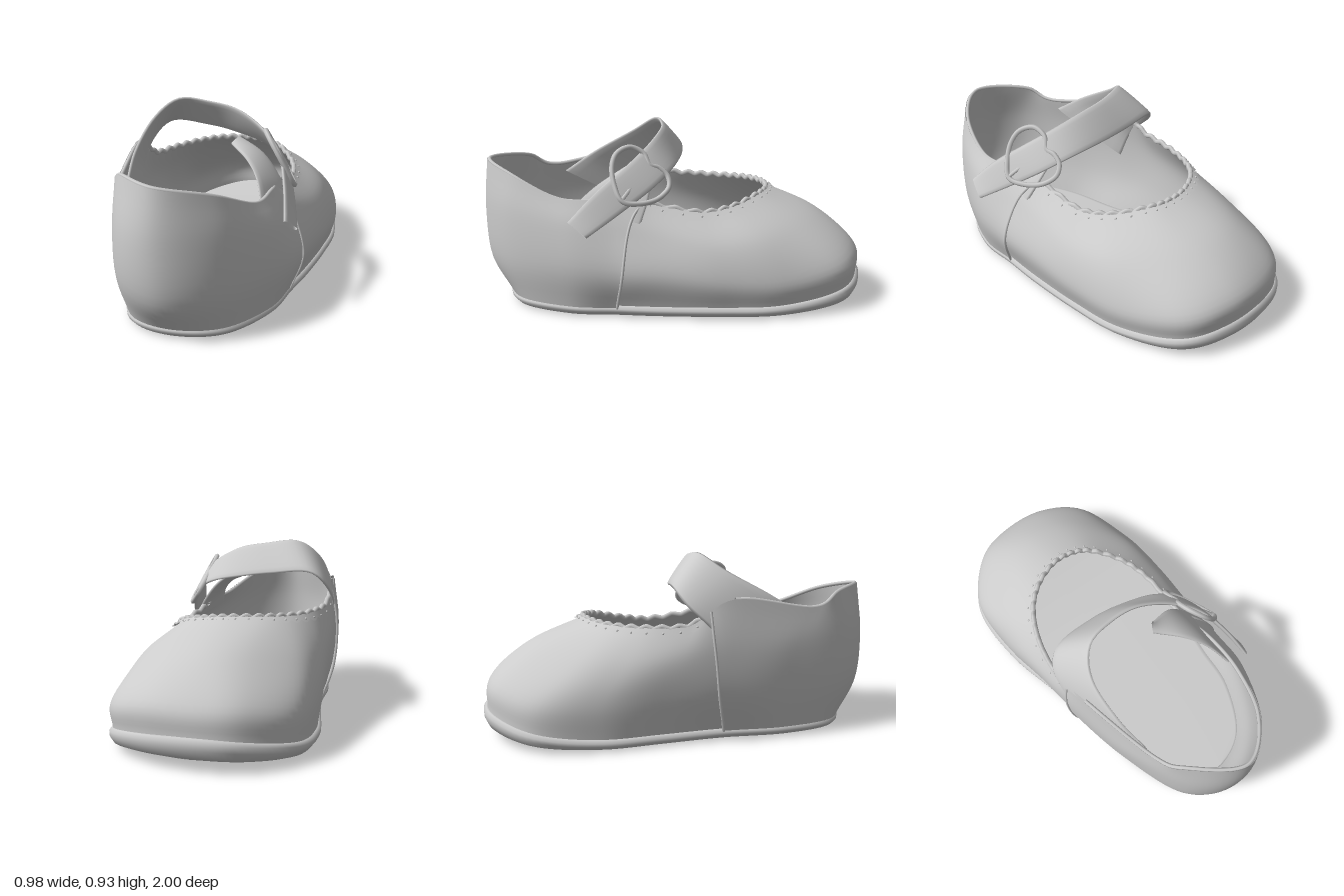
import * as THREE from 'three';
import { mergeVertices } from 'three/addons/utils/BufferGeometryUtils.js';

const V = (p) => new THREE.Vector3(...p);
const curve = (pts, closed = false) => new THREE.CatmullRomCurve3(pts.map(V), closed, 'catmullrom', 0.5);
const material = new THREE.MeshStandardMaterial({ color: 0xcccccc, side: THREE.DoubleSide, roughness: 0.8 });

// Upward curl of the sole at the toe
const spring = (z) => (z < -0.3 ? 0.1 * ((-0.3 - z) / 0.7) ** 2 : 0);

// Four rings of the upper: from the heel round the left side to the toe and back
const soleXZ = [[-0.04, 0.865], [0.19, 0.79], [0.34, 0.55], [0.38, 0.32], [0.42, 0.1], [0.455, -0.2], [0.465, -0.5],
  [0.385, -0.8], [0.18, -0.94], [-0.08, -0.98], [-0.28, -0.92], [-0.45, -0.72], [-0.47, -0.4], [-0.42, -0.1],
  [-0.37, 0.2], [-0.35, 0.52], [-0.25, 0.79]];
const base = soleXZ.map(([x, z]) => [x, 0.05 + spring(z), z]);
const lower = [[-0.05, 0.23, 0.97], [0.2, 0.25, 0.85], [0.38, 0.25, 0.56], [0.435, 0.23, 0.3], [0.46, 0.22, 0.08],
  [0.485, 0.19, -0.2], [0.482, 0.19, -0.5], [0.39, 0.24, -0.79], [0.18, 0.28, -0.93], [-0.07, 0.285, -0.96],
  [-0.27, 0.28, -0.9], [-0.45, 0.24, -0.7], [-0.485, 0.23, -0.4], [-0.46, 0.25, -0.08], [-0.44, 0.25, 0.18],
  [-0.395, 0.26, 0.5], [-0.28, 0.26, 0.85]];
const upper = [[-0.05, 0.5, 0.99], [0.19, 0.5, 0.86], [0.35, 0.45, 0.57], [0.37, 0.43, 0.32], [0.39, 0.4, 0.1],
  [0.43, 0.36, -0.15], [0.41, 0.38, -0.4], [0.29, 0.42, -0.61], [0.14, 0.445, -0.73], [-0.05, 0.46, -0.76],
  [-0.22, 0.45, -0.7], [-0.4, 0.41, -0.52], [-0.46, 0.4, -0.3], [-0.47, 0.43, -0.05], [-0.455, 0.48, 0.2],
  [-0.4, 0.48, 0.53], [-0.275, 0.5, 0.86]];
const rim = [[-0.05, 0.74, 0.97], [0.16, 0.685, 0.84], [0.28, 0.58, 0.6], [0.3, 0.57, 0.38], [0.28, 0.54, 0.15],
  [0.3, 0.5, -0.1], [0.26, 0.52, -0.27], [0.16, 0.56, -0.41], [0.06, 0.575, -0.47], [-0.06, 0.585, -0.48],
  [-0.2, 0.585, -0.43], [-0.31, 0.58, -0.33], [-0.39, 0.58, -0.17], [-0.43, 0.6, 0.03], [-0.425, 0.72, 0.24],
  [-0.345, 0.66, 0.65], [-0.27, 0.725, 0.8]];
const N = rim.length;
const rings = [base, lower, upper, rim].map((r) => curve(r, true));

// Point on a ring; u counts control stations and may wrap round
const onRing = (ring, u) => ring.getPoint((((u / N) % 1) + 1) % 1);
// Point on the upper; v runs from the sole (0) to the rim (1)
const shell = (u, v) => new THREE.CatmullRomCurve3(rings.map((r) => onRing(r, u)), false, 'catmullrom', 0.5)
  .getPoint(Math.min(Math.max(v, 0), 1));

// Moves a point of a surface along its normal
function offset(surface, u, v, d) {
  const e = 0.01, v1 = Math.min(v, 1 - e);
  const p = surface(u, v), q = surface(u, v1);
  const du = surface(u + e, v1).sub(q), dv = surface(u, v1 + e).sub(q);
  return p.addScaledVector(du.cross(dv).normalize(), d);
}

// Smooth mesh from a function of two parameters in 0..1
function grid(name, fn, nu, nv) {
  const pos = [], index = [];
  for (let i = 0; i <= nu; i++)
    for (let j = 0; j <= nv; j++) pos.push(...fn(i / nu, j / nv).toArray());
  for (let i = 0; i < nu; i++)
    for (let j = 0; j < nv; j++) {
      const a = i * (nv + 1) + j, b = a + nv + 1;
      index.push(a, b, a + 1, b, b + 1, a + 1);
    }
  let g = new THREE.BufferGeometry();
  g.setAttribute('position', new THREE.Float32BufferAttribute(pos, 3));
  g.setIndex(index);
  g = mergeVertices(g, 1e-5);
  g.computeVertexNormals();
  return named(name, g);
}

function named(name, geometry) {
  const m = new THREE.Mesh(geometry, material);
  m.name = name;
  return m;
}

const tube = (name, path, radius, closed = false, n = 120) =>
  named(name, new THREE.TubeGeometry(path, n, radius, 6, closed));

// Strap-like band between two edge curves, with a rounded thickness
function band(name, edgeA, edgeB, thickness, n = 48) {
  const a = curve(edgeA), b = curve(edgeB);
  const flat = (u, v) => a.getPoint(Math.min(u, 1)).lerp(b.getPoint(Math.min(u, 1)), v);
  return grid(name, (s, t) => {
    const th = t * Math.PI * 2, sn = Math.sin(th);
    const w = 0.5 - 0.5 * Math.cos(th);
    const u = Math.min(s, 0.985);
    const q = offset(flat, u, w, Math.sign(sn) * Math.abs(sn) ** 0.5 * thickness);
    return s > u ? q.add(flat(s, w)).sub(flat(u, w)) : q;
  }, n, 16);
}

export function createModel() {
  const shoe = new THREE.Group();
  shoe.name = 'shoe';

  shoe.add(grid('upper', (s, t) => shell(s * N, t), 136, 20));

  // Sole: flat bottom, rounded side, flat insole; [width, height, outset]
  const section = [[0, 0.004, -0.03], [0.5, 0.003, -0.03], [1, 0.004, -0.03], [1, 0.012, 0], [1, 0.03, 0.017],
    [1, 0.045, 0.018], [1, 0.06, 0.006], [0.95, 0.064, 0], [0, 0.064, 0]];
  shoe.add(grid('sole', (s, t) => {
    const [w, y, out] = section[Math.round(t * (section.length - 1))];
    const p = onRing(rings[0], s * N), d = onRing(rings[0], s * N + 0.02).sub(p).normalize();
    const curl = spring(p.z) * (0.5 + 0.5 * Math.min(1, y / 0.045));
    return new THREE.Vector3((p.x - d.z * out) * w, y + curl, p.z + d.x * out);
  }, 136, section.length - 1));

  // Heel counter laid over the back half, with curved front seams
  const seamR = (v) => 14 - 0.5 * v * v, seamL = (v) => N + 3 + 0.85 * v ** 3;
  const counter = (s, t) => offset(shell, THREE.MathUtils.lerp(seamR(t), seamL(t), s), t, 0.012);
  shoe.add(grid('heelCounter', counter, 60, 16));
  for (const s of [0, 1]) {
    const pts = Array.from({ length: 10 }, (_, i) => counter(s, i / 9).toArray());
    shoe.add(tube('counterSeam', curve(pts), 0.007, false, 30));
  }
  const collar = Array.from({ length: 30 }, (_, i) => onRing(rings[3], 14 + i * 6.7 / 29).toArray());
  shoe.add(tube('collarEdge', curve(collar), 0.01));

  // Scalloped trim round the front opening, narrowest at the toe, with a row of studs
  const scallops = 24;
  const trimU = (s) => 4 + s * 9.4;
  const trimWidth = (s) => 1 - 0.5 * Math.sin(s * Math.PI);
  shoe.add(grid('scallopedTrim', (s, t) => {
    const depth = (0.06 + 0.035 * Math.abs(Math.sin(s * scallops * Math.PI))) * trimWidth(s);
    return offset(shell, trimU(s), 1 - depth * (1 - t), 0.012);
  }, scallops * 8, 3));
  const beads = [];
  for (let i = 0; i <= scallops * 4; i++) {
    const p = onRing(rings[3], trimU(i / (scallops * 4)));
    p.y += 0.006 + 0.007 * Math.sin(i * Math.PI / 2);
    beads.push(p.toArray());
  }
  shoe.add(tube('trimEdge', curve(beads), 0.013, false, 260));
  for (let i = 0; i < scallops; i++) {
    const s = (i + 0.5) / scallops;
    const stud = named('trimStud', new THREE.SphereGeometry(0.006, 8, 6));
    stud.position.copy(offset(shell, trimU(s), 1 - 0.055 * trimWidth(s), 0.012));
    shoe.add(stud);
  }

  // Strap growing out of the right heel seam, over the instep and through the buckle
  shoe.add(band('strap',
    [[-0.34, 0.62, 0.6], [-0.365, 0.73, 0.43], [-0.35, 0.845, 0.22], [-0.26, 0.925, 0.1], [-0.1, 0.912, 0.07],
      [0.05, 0.885, 0.09], [0.2, 0.815, 0.17], [0.31, 0.73, 0.28], [0.37, 0.62, 0.42], [0.405, 0.49, 0.55]],
    [[-0.44, 0.4, 0.2], [-0.458, 0.56, 0.14], [-0.44, 0.69, 0.01], [-0.35, 0.77, -0.05], [-0.16, 0.76, -0.05],
      [0, 0.74, -0.025], [0.2, 0.7, 0.04], [0.32, 0.63, 0.14], [0.39, 0.53, 0.29], [0.445, 0.42, 0.46]], 0.011));

  // Tab from the left of the heel that reaches under the strap
  shoe.add(band('innerTab',
    [[0.29, 0.54, 0.53], [0.24, 0.63, 0.42], [0.16, 0.69, 0.31], [0.05, 0.73, 0.2]],
    [[0.35, 0.46, 0.2], [0.29, 0.57, 0.16], [0.2, 0.68, 0.14], [0.08, 0.765, 0.16]], 0.01, 24));

  // Heart-shaped buckle on the tilted side of the strap: points are z, y
  const tilt = ([z, y]) => [0.235 + (0.8 - y) * 0.58 + (z - 0.2) * 0.35, y, z];
  const heart = [[0.15, 0.74], [0.18, 0.795], [0.245, 0.825], [0.31, 0.8], [0.335, 0.74], [0.325, 0.66], [0.29, 0.585],
    [0.21, 0.567], [0.12, 0.58], [0.06, 0.625], [0.06, 0.68], [0.1, 0.72]];
  const buckle = new THREE.Group();
  buckle.name = 'buckle';
  buckle.add(tube('buckleFrame', curve(heart.map(tilt), true), 0.013, true));
  buckle.add(tube('bucklePin', curve([[0.15, 0.74], [0.2, 0.69], [0.29, 0.59]].map(tilt)), 0.01, false, 16));
  shoe.add(buckle);

  return shoe;
}
